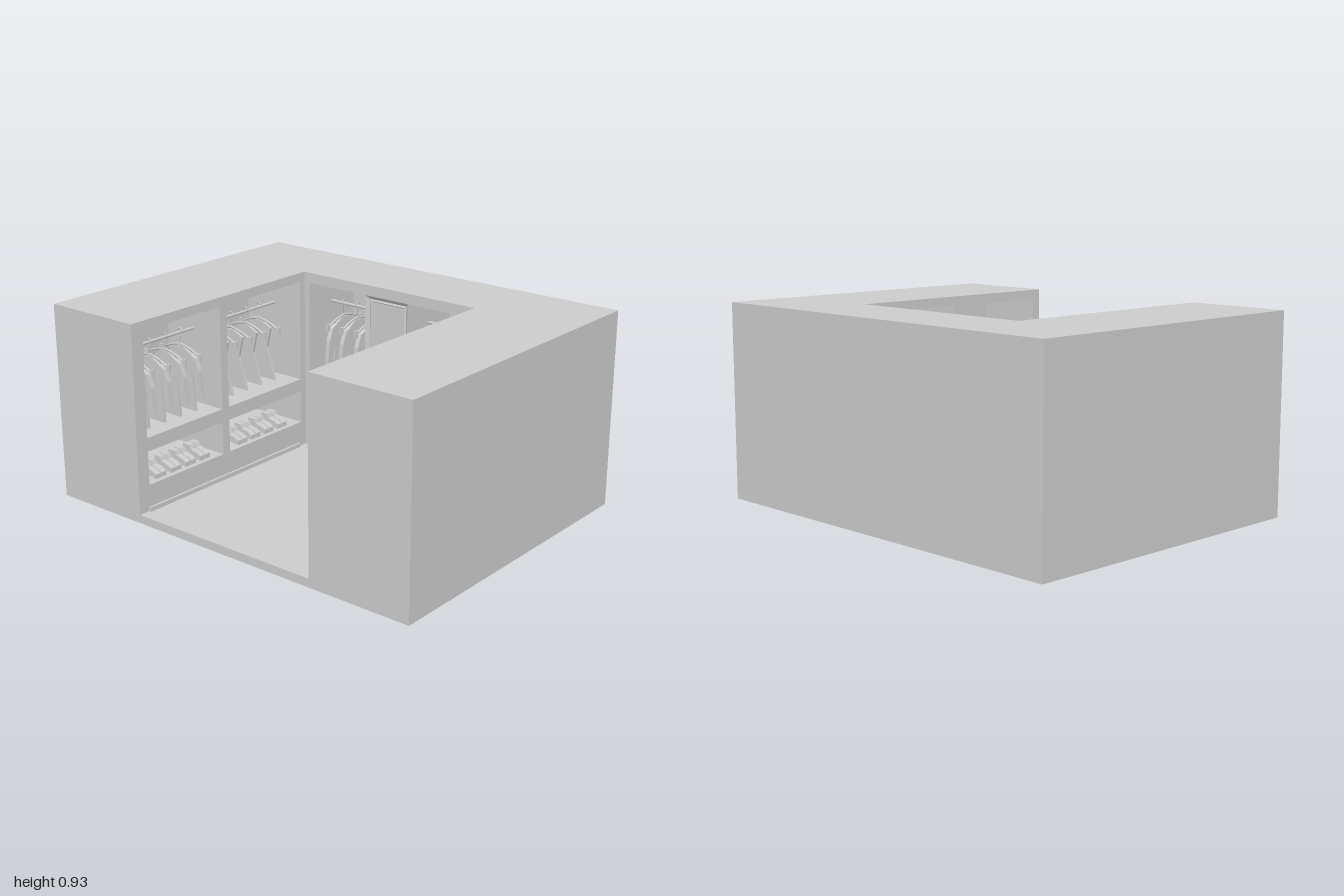
import * as THREE from 'three';

const mat = new THREE.MeshStandardMaterial({ color: 0xcccccc });
const H = 0.93, DEPTH = 0.34, MID = -0.17, RAIL_Y = 0.755;

function add(parent, name, geo, x = 0, y = 0, z = 0) {
  const m = new THREE.Mesh(geo, mat);
  m.name = name;
  m.position.set(x, y, z);
  parent.add(m);
  return m;
}

// Box given by its limits on each axis
function block(parent, name, [x0, x1], [y0, y1], [z0, z1]) {
  return add(parent, name, new THREE.BoxGeometry(x1 - x0, y1 - y0, z1 - z0),
    (x0 + x1) / 2, (y0 + y1) / 2, (z0 + z1) / 2);
}

const polygon = pts => new THREE.Shape(pts.map(p => new THREE.Vector2(...p)));
const rect = (x0, x1, y0, y1) => [[x0, y0], [x1, y0], [x1, y1], [x0, y1]];

// Cabinet carcass: a thick face with cells cut through, its front at z = 0
function carcass(parent, x0, x1, cells) {
  const s = polygon(rect(x0, x1, 0, H));
  for (const c of cells) s.holes.push(polygon(rect(...c)));
  const g = new THREE.ExtrudeGeometry(s, { depth: DEPTH, bevelEnabled: false });
  add(parent, 'cabinetFrame', g, 0, 0, -DEPTH);
}

// Moulded panel from nested rectangles, each [inset, depth]
function panel(parent, name, [x0, x1, y0, y1], profile) {
  const rings = profile.map(([i, z]) => rect(x0 + i, x1 - i, y0 + i, y1 - i).map(p => [...p, z]));
  const pos = [];
  const quad = (a, b, c, d) => pos.push(...a, ...b, ...c, ...a, ...c, ...d);
  for (let r = 0; r < rings.length - 1; r++)
    for (let i = 0; i < 4; i++) {
      const j = (i + 1) % 4;
      quad(rings[r][i], rings[r][j], rings[r + 1][j], rings[r + 1][i]);
    }
  quad(...rings[rings.length - 1]);
  const g = new THREE.BufferGeometry();
  g.setAttribute('position', new THREE.Float32BufferAttribute(pos, 3));
  g.computeVertexNormals();
  add(parent, name, g);
}

// Drawer front with a round knob
function drawer(parent, box) {
  panel(parent, 'drawerFront', box,
    [[0, -0.06], [0, 0], [0.024, -0.016], [0.032, -0.01], [0.04, -0.01], [0.05, -0.022]]);
  const x = (box[0] + box[1]) / 2, y = (box[2] + box[3]) / 2;
  const stem = new THREE.CylinderGeometry(0.004, 0.004, 0.025, 10).rotateX(Math.PI / 2);
  add(parent, 'knobStem', stem, x, y, -0.01);
  add(parent, 'knob', new THREE.SphereGeometry(0.009, 12, 8), x, y, 0.003);
}

// Thin silhouette in the depth-height plane, centred across x
function slab(pts, thick) {
  return new THREE.ExtrudeGeometry(polygon(pts), { depth: thick, bevelEnabled: false })
    .translate(0, 0, -thick / 2).rotateY(-Math.PI / 2);
}
const mirrored = pts => [...pts, ...pts.map(([x, y]) => [-x, y]).reverse()];

const JACKET = slab(mirrored([[0.02, 0.69], [0.085, 0.655], [0.08, 0.53], [0.09, 0.39]]), 0.012);
const DRESS = slab(mirrored([[0.02, 0.69], [0.075, 0.66], [0.05, 0.56], [0.1, 0.4]]), 0.012);
const SLEEVE = [[0.07, 0.665], [0.1, 0.65], [0.125, 0.59], [0.138, 0.47], [0.1, 0.47], [0.09, 0.58]];

// Hanger with hook, sloping arms and a garment
function hanging(parent, x, garment, reach) {
  const g = new THREE.Group();
  g.name = 'hangingGarment';
  g.position.set(x, 0, MID);
  parent.add(g);
  add(g, 'hook', new THREE.TorusGeometry(0.014, 0.003, 6, 14, Math.PI * 1.3)
    .rotateZ(-Math.PI / 3).rotateY(Math.PI / 2), 0, RAIL_Y + 0.006, 0);
  add(g, 'hookStem', new THREE.CylinderGeometry(0.003, 0.003, 0.06, 6), 0, 0.717, 0);
  for (const s of [1, -1]) {
    const arm = new THREE.CatmullRomCurve3([
      new THREE.Vector3(0, 0.7, 0),
      new THREE.Vector3(0, 0.685, s * reach * 0.5),
      new THREE.Vector3(0, 0.655, s * reach)]);
    add(g, 'hangerArm', new THREE.TubeGeometry(arm, 8, 0.006, 6));
    add(g, 'hangerTip', new THREE.BoxGeometry(0.012, 0.035, 0.016), 0, 0.658, s * (reach - 0.005));
    if (garment === JACKET) add(g, 'sleeve', slab(SLEEVE.map(([a, b]) => [s * a, b]), 0.022));
  }
  add(g, 'garmentBody', garment);
}

// Rail across a cell with garments at the given places
function rail(parent, x0, x1, places, garment, reach = 0.13) {
  const rod = new THREE.CylinderGeometry(0.007, 0.007, x1 - x0, 10).rotateZ(Math.PI / 2);
  add(parent, 'clothesRail', rod, (x0 + x1) / 2, RAIL_Y, MID);
  for (const x of places) hanging(parent, x, garment, reach);
}

// Row of shoe pairs, toes to the front
const SHOE = slab([[-0.055, 0], [-0.025, 0], [-0.02, 0.01], [0.055, 0], [0.055, 0.022],
  [0.03, 0.035], [-0.005, 0.042], [-0.015, 0.062], [-0.055, 0.062]], 0.03);
function shoes(parent, centre, y, count = 4) {
  for (let i = 0; i < count; i++)
    for (const s of [1, -1])
      add(parent, 'shoe', SHOE, centre + (i - (count - 1) / 2) * 0.095 + s * 0.018, y, -0.08);
}

export function createModel() {
  const root = new THREE.Group();
  root.name = 'walkInCloset';

  // Floor and the solid outer walls
  block(root, 'floor', [-0.5, 0.49], [0, 0.04], [-0.385, 0.755]);
  block(root, 'leftOuterWall', [-1, -0.5 - DEPTH], [0, H], [-0.385, 0.755]);
  block(root, 'rightOuterWall', [0.49 + DEPTH, 1], [0, H], [-0.385, 0.755]);
  block(root, 'backOuterWall', [-0.5, 0.49], [0, H], [-0.757, -0.385 - DEPTH]);
  block(root, 'backCorner', [-1, -0.5], [0, H], [-0.757, -0.385]);
  block(root, 'backCorner', [0.49, 1], [0, H], [-0.757, -0.385]);

  const unit = (name, x, z, turn) => {
    const g = new THREE.Group();
    g.name = name;
    g.position.set(x, 0, z);
    g.rotation.y = turn;
    root.add(g);
    return g;
  };

  // Back unit: two hanging bays, a tall middle door and two drawers
  const back = unit('backCabinet', 0, -0.385, 0);
  carcass(back, -0.5, 0.49, [[-0.47, 0.465, 0.37, 0.88], [-0.47, 0.465, 0.13, 0.325]]);
  block(back, 'doorCabinet', [-0.125, 0.122], [0.37, 0.88], [-DEPTH, -0.04]);
  panel(back, 'tallDoor', [-0.125, 0.122, 0.37, 0.88],
    [[0, -0.04], [0, 0], [0.018, -0.015], [0.026, -0.01], [0.036, -0.03]]);
  drawer(back, [-0.47, 0, 0.13, 0.325]);
  drawer(back, [0, 0.465, 0.13, 0.325]);
  rail(back, -0.47, -0.125, [-0.39, -0.305, -0.215], JACKET);
  rail(back, 0.122, 0.465, [0.21, 0.295, 0.385], JACKET);
  block(back, 'skirting', [-0.47, 0.46], [0.04, 0.06], [0, 0.018]);

  // Unit on the -x side: two hanging bays over two shoe bays
  const sideA = unit('sideCabinet', -0.5, 0, Math.PI / 2);
  const baysA = [[-0.69, -0.21], [-0.165, 0.35]];
  carcass(sideA, -0.755, 0.385, baysA.flatMap(b => [[...b, 0.39, 0.885], [...b, 0.165, 0.325]]));
  baysA.forEach(([a, b], i) => {
    const c = (a + b) / 2;
    rail(sideA, a, b, [-0.15, -0.05, 0.05, 0.15].map(d => c + d), i ? DRESS : JACKET);
    shoes(sideA, c, 0.165);
  });
  block(sideA, 'skirting', [-0.7, 0.33], [0.04, 0.06], [0, 0.012]);

  // Unit on the +x side: hanging bay over shoes, then a shoe shelf over drawers
  const sideB = unit('sideCabinet', 0.49, 0, -Math.PI / 2);
  const drawersB = [[0.23, 0.71, 0.4, 0.55], [0.23, 0.71, 0.155, 0.31]];
  carcass(sideB, -0.385, 0.755, [[-0.34, 0.17, 0.39, 0.885], [-0.34, 0.17, 0.165, 0.325],
    [0.23, 0.71, 0.61, 0.885], ...drawersB]);
  rail(sideB, -0.34, 0.17, [-0.32, -0.18, -0.04, 0.1], JACKET, 0.195);
  shoes(sideB, -0.085, 0.165);
  shoes(sideB, 0.47, 0.61, 3);
  for (const d of drawersB) drawer(sideB, d);
  block(sideB, 'skirting', [-0.34, 0.705], [0.04, 0.06], [0, 0.012]);

  return root;
}
